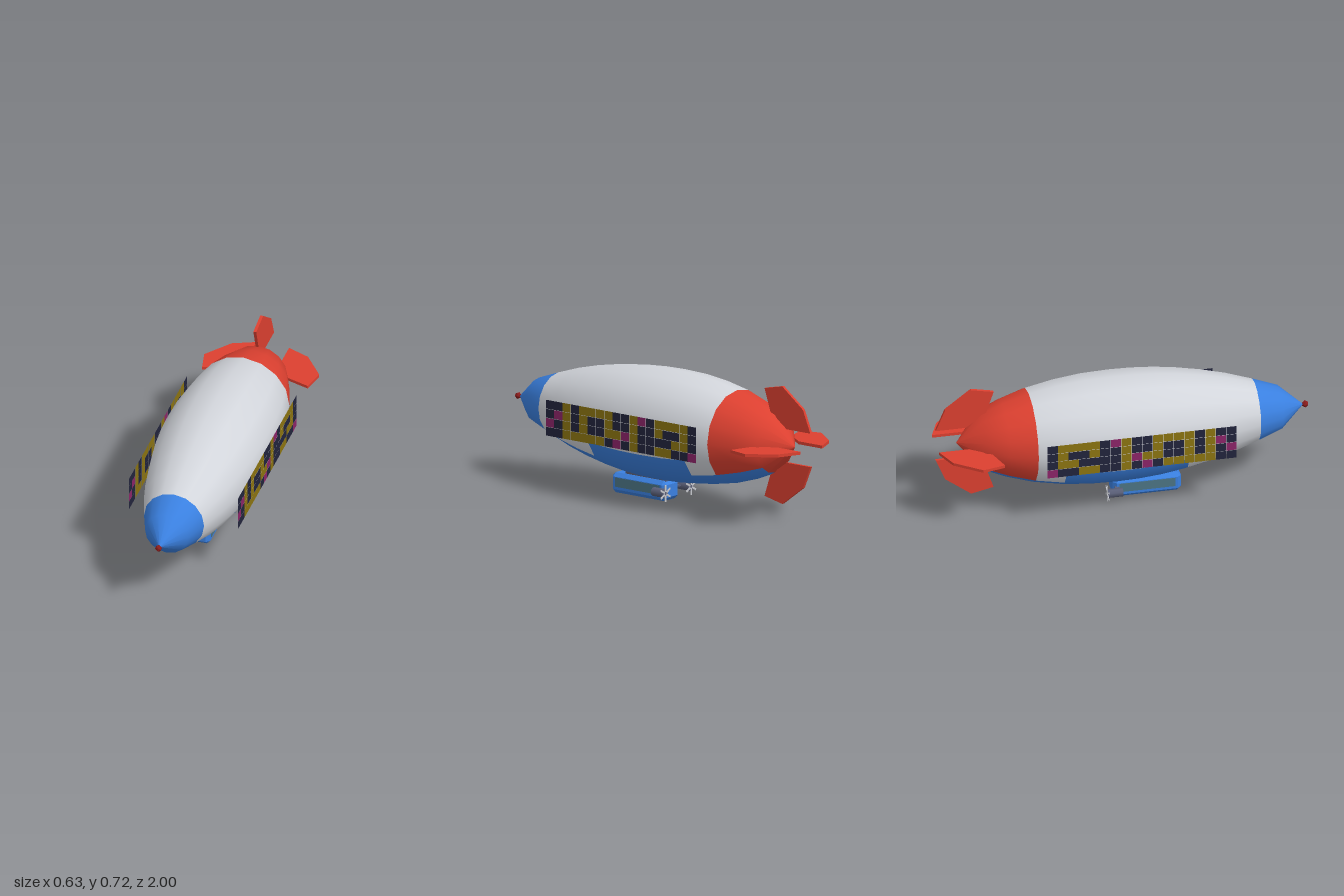
import * as THREE from 'three';
import { ConvexGeometry } from 'three/addons/geometries/ConvexGeometry.js';

const mat = (name, color, flat = false) => {
  const m = new THREE.MeshStandardMaterial({ color, flatShading: flat });
  m.name = name;
  return m;
};

const AXIS_Y = 0.408; // height of the hull's long axis

// Rings [z, radius] from nose to tail
const RINGS = [
  [0.97, 0], [0.84, 0.118], [0.71, 0.165], [0.57, 0.211], [0.44, 0.244], [0.31, 0.269],
  [0.19, 0.286], [0.07, 0.295], [-0.05, 0.298], [-0.2, 0.294], [-0.35, 0.278], [-0.5, 0.25],
  [-0.64, 0.207], [-0.76, 0.157], [-0.89, 0],
];
const SIDES = 16;

// Hull colour of one cell: 0 silver, 1 blue, 2 red
function hullColour(z, j) {
  if (z > 0.71) return 1;
  if (z < -0.76) return 2;
  const raised = z < 0.31 && z > -0.35; // belly paint climbs higher amidships
  if (raised ? j >= 9 && j <= 14 : j >= 10 && j <= 13) return 1;
  return z < -0.5 ? 2 : 0;
}

function hullGeometry() {
  const pos = [];
  for (const [z, r] of RINGS) {
    for (let j = 0; j < SIDES; j++) {
      const a = (j / SIDES) * Math.PI * 2;
      pos.push(Math.cos(a) * r, AXIS_Y + Math.sin(a) * r, z);
    }
  }
  const byColour = [[], [], []];
  for (let i = 0; i < RINGS.length - 1; i++) {
    const zMid = (RINGS[i][0] + RINGS[i + 1][0]) / 2;
    for (let j = 0; j < SIDES; j++) {
      const k = (j + 1) % SIDES;
      const a = i * SIDES + j, b = i * SIDES + k, c = a + SIDES, d = b + SIDES;
      const list = byColour[hullColour(zMid, j)];
      if (i > 0) list.push(a, c, b);
      if (i < RINGS.length - 2) list.push(b, c, d);
      else if (i === 0) list.push(b, c, d);
    }
  }
  const g = new THREE.BufferGeometry();
  g.setAttribute('position', new THREE.Float32BufferAttribute(pos, 3));
  g.setIndex(byColour.flat());
  let start = 0;
  byColour.forEach((list, m) => {
    g.addGroup(start, list.length, m);
    start += list.length;
  });
  g.computeVertexNormals();
  return g;
}

// Box with every edge cut off by c
function chamferedBox(w, h, d, c) {
  const pts = [];
  for (const x of [-1, 1]) for (const y of [-1, 1]) for (const z of [-1, 1]) {
    const [X, Y, Z] = [w / 2, h / 2, d / 2];
    pts.push(
      new THREE.Vector3(x * X, y * (Y - c), z * (Z - c)),
      new THREE.Vector3(x * (X - c), y * Y, z * (Z - c)),
      new THREE.Vector3(x * (X - c), y * (Y - c), z * Z));
  }
  return new ConvexGeometry(pts);
}

// Light mosaic, nose to tail: n navy, g gold, m magenta
const MOSAIC = [
  'nngnggggnngmnggggn',
  'nmgngnngnngnngnngn',
  'mngngnnggmgnnnnggn',
  'nngggggnmngnnggnnm',
];

export function createModel() {
  const silver = mat('silver', 0xd2d5db);
  const blue = mat('blue', 0x3a80e0);
  const red = mat('red', 0xdc4030);
  const darkRed = mat('darkRed', 0x8a1c1c, true);
  const navy = mat('navy', 0x22243c);
  const gold = mat('gold', 0x8c7410);
  const magenta = mat('magenta', 0x8c2468);
  const glass = mat('glass', 0x4c7484);
  const steel = mat('steel', 0x5a5f78);
  const bladeGrey = mat('bladeGrey', 0xc4c6cc);
  for (const m of [navy, gold, magenta]) m.side = THREE.DoubleSide;

  const model = new THREE.Group();
  model.name = 'airship';
  const add = (name, geo, material, x = 0, y = 0, z = 0, parent = model) => {
    const mesh = new THREE.Mesh(geo, material);
    mesh.name = name;
    mesh.position.set(x, y, z);
    parent.add(mesh);
    return mesh;
  };

  // Envelope and nose knob
  add('hull', hullGeometry(), [silver, blue, red]);
  add('noseKnob', new THREE.IcosahedronGeometry(0.019, 0), darkRed, 0, AXIS_Y, 0.981);

  // Four tail fins: outline as (z, distance from axis)
  const outline = [[-0.69, 0.29], [-0.81, 0.316], [-0.95, 0.21], [-1, 0.09], [-0.84, 0.09], [-0.73, 0.17]];
  const finShape = new THREE.Shape(outline.map(([z, r]) => new THREE.Vector2(-z, r)));
  const finGeo = new THREE.ExtrudeGeometry(finShape, { depth: 0.016, bevelEnabled: false });
  finGeo.translate(0, 0, -0.008);
  finGeo.rotateY(Math.PI / 2);
  for (let i = 0; i < 4; i++) {
    const fin = add('tailFin', finGeo, red, 0, AXIS_Y, 0);
    fin.rotation.z = (i * Math.PI) / 2;
  }

  // Light panels on both flanks
  const cellGeo = new THREE.PlaneGeometry(0.0545, 0.0465);
  const paint = { n: navy, g: gold, m: magenta };
  for (const side of [1, -1]) {
    const panel = new THREE.Group();
    panel.name = side > 0 ? 'leftLightPanel' : 'rightLightPanel';
    model.add(panel);
    MOSAIC.forEach((row, r) => [...row].forEach((key, c) => {
      const cell = add('lightCell', cellGeo, paint[key],
        side * 0.3, 0.481 - r * 0.0485, 0.522 - c * 0.0564, panel);
      cell.rotation.y = (side * Math.PI) / 2;
    }));
  }

  // Gondola with its mount and windows
  add('gondola', chamferedBox(0.13, 0.108, 0.365, 0.02), blue, 0, 0.054, 0.1225);
  add('gondolaMount', new THREE.BoxGeometry(0.078, 0.05, 0.27), steel, 0, 0.11, 0.09);
  for (const side of [1, -1]) {
    add('windowStrip', new THREE.BoxGeometry(0.004, 0.05, 0.3), glass, side * 0.065, 0.06, 0.122);
  }

  // Engines with six-bladed propellers
  const podGeo = new THREE.CylinderGeometry(0.024, 0.024, 0.08, 8);
  podGeo.rotateX(Math.PI / 2);
  podGeo.rotateZ(Math.PI / 8);
  const bladeGeo = new THREE.BoxGeometry(0.01, 0.036, 0.004);
  bladeGeo.translate(0, 0.027, 0);
  for (const side of [1, -1]) {
    const engine = new THREE.Group();
    engine.name = side > 0 ? 'leftEngine' : 'rightEngine';
    engine.position.set(side * 0.106, 0.06, -0.06);
    model.add(engine);
    add('enginePod', podGeo, steel, 0, 0, 0, engine);
    const strut = add('engineStrut', new THREE.BoxGeometry(0.06, 0.008, 0.02), steel, -side * 0.035, 0.004, 0.018, engine);
    strut.rotation.z = -side * 0.1;
    for (let i = 0; i < 6; i++) {
      const blade = add('propellerBlade', bladeGeo, bladeGrey, 0, 0, -0.041, engine);
      blade.rotation.z = (i * Math.PI) / 3;
    }
  }

  return model;
}
